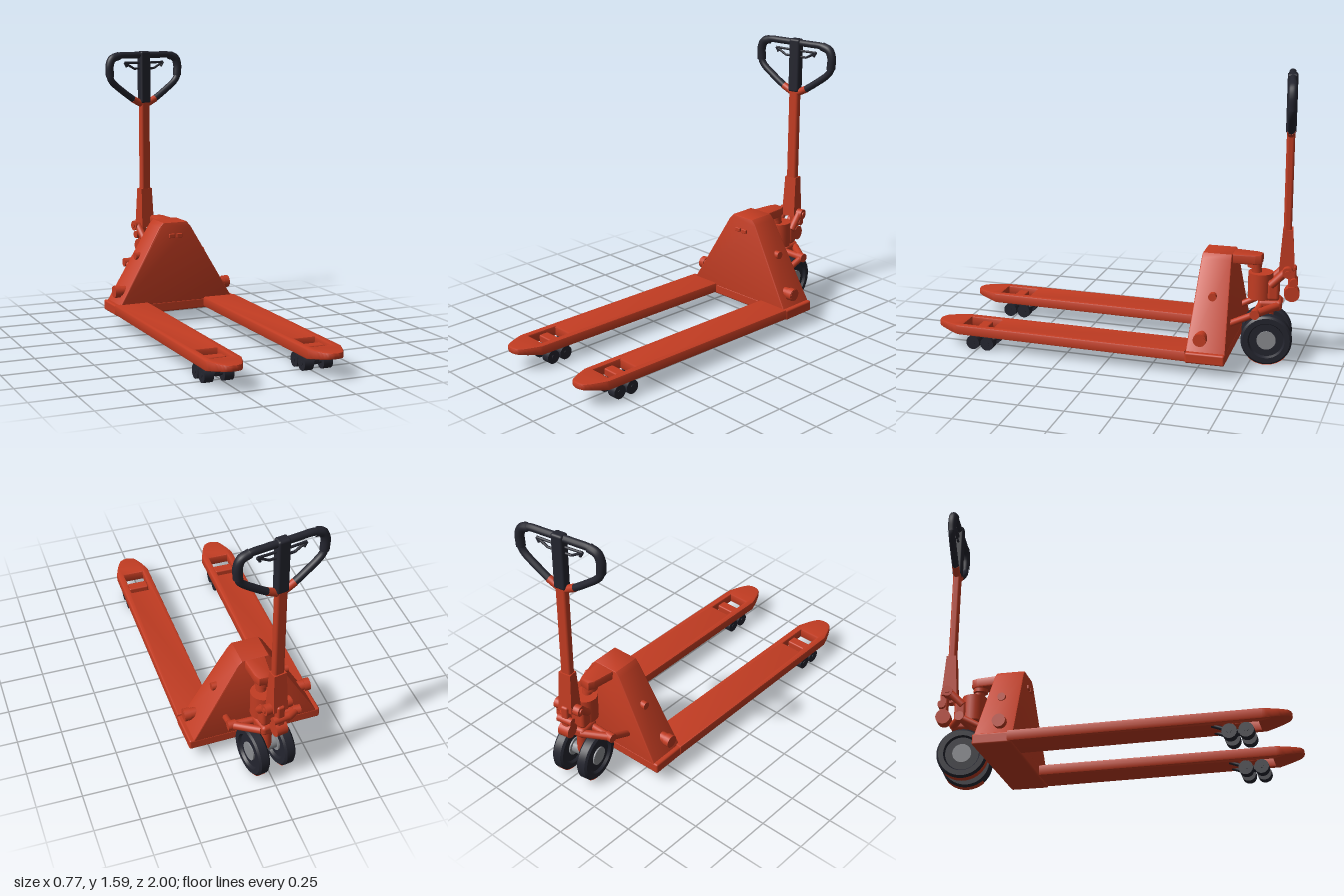
import * as THREE from 'three';
import { RoundedBoxGeometry } from 'three/addons/geometries/RoundedBoxGeometry.js';
import { toCreasedNormals } from 'three/addons/utils/BufferGeometryUtils.js';

const material = (name, color, extra = {}) => {
  const m = new THREE.MeshStandardMaterial({ color, ...extra });
  m.name = name;
  return m;
};
const V = (x, y, z) => new THREE.Vector3(x, y, z);

export function createModel() {
  const orange = material('orange paint', 0xc23c22);
  const dark = material('dark rubber', 0x24252f);
  const grey = material('hub metal', 0x8b8d91);
  const model = new THREE.Group();
  model.name = 'palletTruck';

  const group = (name, x = 0, y = 0, z = 0, parent = model) => {
    const g = new THREE.Group();
    g.name = name;
    g.position.set(x, y, z);
    parent.add(g);
    return g;
  };
  const add = (parent, name, geo, mat, x = 0, y = 0, z = 0) => {
    const m = new THREE.Mesh(geo, mat);
    m.name = name;
    m.position.set(x, y, z);
    parent.add(m);
    return m;
  };
  const box = (parent, name, mat, w, h, d, x, y, z, r = 0.008) =>
    add(parent, name, new RoundedBoxGeometry(w, h, d, 2, Math.min(r, w / 2.1, h / 2.1, d / 2.1)), mat, x, y, z);
  // Cylinder between two points
  const rod = (parent, name, mat, a, b, r0, r1 = r0, sides = 20) => {
    const dir = b.clone().sub(a);
    const m = add(parent, name, new THREE.CylinderGeometry(r1, r0, dir.length(), sides), mat);
    m.position.copy(a).add(b).multiplyScalar(0.5);
    m.quaternion.setFromUnitVectors(V(0, 1, 0), dir.normalize());
    return m;
  };
  const path = (points) => points.map(([x, y]) => new THREE.Vector2(x, y));
  const extrude = (shape, depth, bevel) => new THREE.ExtrudeGeometry(shape, {
    depth: depth - 2 * bevel, bevelThickness: bevel, bevelSize: bevel, bevelOffset: -bevel,
    bevelSegments: 2, curveSegments: 10,
  });
  const edit = (geo, rule) => {
    const p = geo.attributes.position, v = V(0, 0, 0);
    for (let i = 0; i < p.count; i++) {
      rule(v.fromBufferAttribute(p, i));
      p.setXYZ(i, v.x, v.y, v.z);
    }
    geo.computeVertexNormals();
    return toCreasedNormals(geo, 0.6);
  };

  // Forks with a roller opening and an upswept tip
  for (const s of [-1, 1]) {
    const fork = group(s > 0 ? 'leftFork' : 'rightFork', s * 0.281);
    const outline = new THREE.Shape();
    outline.moveTo(-0.103, -0.46);
    outline.lineTo(0.103, -0.46);
    outline.lineTo(0.1, 0.86);
    outline.quadraticCurveTo(0.072, 0.95, 0.045, 0.985);
    outline.quadraticCurveTo(0, 1.015, -0.045, 0.985);
    outline.quadraticCurveTo(-0.072, 0.95, -0.1, 0.86);
    outline.closePath();
    outline.holes.push(new THREE.Path(path([[-0.06, 0.652], [-0.06, 0.835], [0.06, 0.835], [0.06, 0.652]])));
    const geo = extrude(outline, 0.06, 0.009);
    geo.rotateX(Math.PI / 2);
    geo.translate(0, 0.131, 0);
    add(fork, 'forkBeam', edit(geo, (v) => {
      if (v.z > 0.84 && v.y < 0.11) v.y += (v.z - 0.84) * 0.17;
    }), orange);
    // Tandem load rollers
    box(fork, 'rollerCrossBar', orange, 0.12, 0.045, 0.06, 0, 0.1, 0.735);
    box(fork, 'rollerBogie', dark, 0.035, 0.03, 0.12, 0, 0.055, 0.73);
    for (const z of [0.69, 0.775]) {
      rod(fork, 'rollerAxle', dark, V(-0.085, 0.04, z), V(0.085, 0.04, z), 0.012);
      for (const side of [-1, 1]) {
        const x = side * 0.056;
        rod(fork, 'loadRoller', dark, V(x - 0.026, 0.039, z), V(x + 0.026, 0.039, z), 0.039, 0.039, 24);
      }
    }
    for (const side of [-1, 1])
      rod(fork, 'rollerLink', dark, V(side * 0.05, 0.085, 0.6), V(side * 0.05, 0.05, 0.69), 0.01);
  }

  // Chassis: base beam, triangular frame, panel and lift shaft
  const chassis = group('chassis', 0, 0, -0.555);
  chassis.rotation.y = 0.03;
  box(chassis, 'baseBeam', orange, 0.765, 0.06, 0.215, 0, 0.104, 0, 0.01);
  const frame = new THREE.Shape(path([[-0.362, 0.125], [0.362, 0.125], [0.1, 0.575], [0.075, 0.602],
    [-0.075, 0.602], [-0.1, 0.575]]));
  frame.holes.push(new THREE.Path(path([[-0.3, 0.133], [-0.122, 0.44], [0.122, 0.44], [0.3, 0.133]])));
  const frameGeo = extrude(frame, 0.215, 0.008);
  frameGeo.translate(0, 0, -0.0995);
  add(chassis, 'triangleFrame', edit(frameGeo, (v) => { v.z *= 1 - (v.y - 0.125) * 0.5; }), orange);
  const panel = extrude(new THREE.Shape(path([[-0.28, 0.175], [0.28, 0.175], [0.125, 0.445], [-0.125, 0.445]])), 0.03, 0.003);
  add(chassis, 'frontPanel', toCreasedNormals(panel, 0.5), orange, 0, 0, -0.045);
  box(chassis, 'panelRib', orange, 0.56, 0.06, 0.05, 0, 0.208, 0.0, 0.02);
  rod(chassis, 'liftShaft', orange, V(-0.37, 0.205, 0.03), V(0.372, 0.205, 0.03), 0.03, 0.03, 24);
  box(chassis, 'panelBlock', orange, 0.18, 0.06, 0.02, 0, 0.275, -0.015);
  for (const s of [-1, 1]) {
    rod(chassis, 'shaftCap', orange, V(s * 0.335, 0.205, 0.03), V(s * 0.37, 0.205, 0.03), 0.036);
    rod(chassis, 'frameBolt', orange, V(s * 0.19, 0.4, -0.005), V(s * 0.222, 0.4, -0.005), 0.022);
    box(chassis, 'frontLug', orange, 0.036, 0.025, 0.016, s * 0.024, 0.522, 0.089, 0.004);
  }

  // Top yoke reaching over the pump
  const yoke = extrude(new THREE.Shape(path([[-0.072, -0.5], [0.072, -0.5], [0.045, -0.76], [0.03, -0.792],
    [-0.03, -0.792], [-0.045, -0.76]])), 0.055, 0.008);
  yoke.rotateX(Math.PI / 2);
  add(model, 'topYoke', toCreasedNormals(yoke, 0.5), orange, 0, 0.592, 0);
  rod(model, 'yokeBoss', orange, V(0, 0.525, -0.75), V(0, 0.56, -0.75), 0.04);

  // Lower lift linkage
  for (const s of [-1, 1]) {
    rod(model, 'liftLink', orange, V(s * 0.165, 0.225, -0.62), V(s * 0.185, 0.315, -0.79), 0.018);
    rod(model, 'linkJoint', orange, V(s * 0.16, 0.318, -0.795), V(s * 0.205, 0.318, -0.795), 0.026);
    rod(model, 'yokeArm', orange, V(s * 0.175, 0.318, -0.8), V(s * 0.05, 0.325, -0.885), 0.022);
  }
  rod(model, 'linkCrossShaft', orange, V(-0.18, 0.318, -0.795), V(0.18, 0.318, -0.795), 0.02);

  // Steering unit, turned slightly to one side
  const steer = group('steeringUnit', 0, 0, -0.82);
  steer.rotation.y = 0.18;
  rod(steer, 'pumpBody', orange, V(0, 0.355, 0.035), V(0, 0.5, 0.035), 0.068, 0.068, 28);
  rod(steer, 'pumpPiston', orange, V(0, 0.49, 0.055), V(0, 0.56, 0.065), 0.028);
  box(steer, 'pumpBase', orange, 0.13, 0.06, 0.13, 0, 0.325, -0.02, 0.02);
  rod(steer, 'steeringPost', orange, V(0, 0.14, -0.01), V(0, 0.36, -0.01), 0.03);
  box(steer, 'pumpReservoir', orange, 0.12, 0.12, 0.07, 0, 0.41, -0.035, 0.02);
  for (const s of [-1, 1]) {
    rod(steer, 'hingeArm', orange, V(s * 0.052, 0.44, -0.02), V(s * 0.052, 0.52, -0.1), 0.022);
    rod(steer, 'hingeBoss', orange, V(s * 0.03, 0.52, -0.11), V(s * 0.078, 0.52, -0.11), 0.03);
  }
  rod(steer, 'hingePin', orange, V(-0.085, 0.52, -0.11), V(0.085, 0.52, -0.11), 0.015);
  rod(steer, 'pumpRoller', orange, V(-0.032, 0.385, -0.135), V(0.032, 0.385, -0.135), 0.042, 0.042, 24);
  box(steer, 'pumpLever', orange, 0.045, 0.16, 0.045, 0, 0.465, -0.135, 0.012);
  rod(steer, 'leverLug', orange, V(-0.045, 0.455, -0.145), V(0.045, 0.455, -0.145), 0.022);

  // Handle column with a flared socket
  const socket = edit(new THREE.BoxGeometry(0.085, 0.24, 0.085), (v) => {
    if (v.y > 0) { v.x *= 0.86; v.z *= 0.62; }
  });
  add(steer, 'columnSocket', socket, orange, 0, 0.63, -0.105);
  box(steer, 'handleColumn', orange, 0.062, 0.58, 0.044, 0, 1.01, -0.102, 0.014);
  box(steer, 'gripColumn', dark, 0.068, 0.315, 0.055, 0, 1.435, -0.102, 0.012);

  // Loop grip and release levers
  const half = [[0, 1.57], [0.1, 1.57], [0.175, 1.568], [0.222, 1.55], [0.24, 1.51], [0.238, 1.44],
    [0.222, 1.41], [0.14, 1.345], [0.065, 1.294]];
  const along = [0, 0.07, 0.14];
  for (const s of [-1, 1]) {
    const curve = new THREE.CatmullRomCurve3(half.map(([x, y]) => V(s * x, y, -0.102)), false, 'centripetal');
    add(steer, 'loopGrip', new THREE.TubeGeometry(curve, 48, 0.02, 12), dark);
    const sleeve = new THREE.CatmullRomCurve3(half.slice(2, 6).map(([x, y]) => V(s * x, y, -0.102)), false, 'centripetal');
    add(steer, 'gripSleeve', new THREE.TubeGeometry(sleeve, 24, 0.025, 12), dark);
    rod(steer, 'loopSocket', orange, V(s * 0.02, 1.273, -0.102), V(s * 0.078, 1.302, -0.102), 0.021);
    const lever = V(s * 0.135, 1.525, -0.102);
    rod(steer, 'releaseLever', dark, V(s * along[0], 1.522, -0.102), lever, 0.007, 0.007, 8);
    rod(steer, 'releaseLever', dark, V(s * along[1], 1.488, -0.102), lever, 0.007, 0.007, 8);
    rod(steer, 'releaseLever', dark, V(s * along[0], 1.488, -0.102), V(s * along[1], 1.488, -0.102), 0.007, 0.007, 8);
    rod(steer, 'leverTip', dark, V(s * 0.12, 1.5, -0.102), lever, 0.008, 0.008, 8);
  }

  // Steering wheels: dished tyre, metal hub, painted tread patch
  const R = 0.139;
  const tyre = toCreasedNormals(new THREE.LatheGeometry(path([[0, -0.018], [0.092, -0.018], [0.1, -0.033],
    [0.128, -0.033], [R, -0.022], [R, 0.022], [0.128, 0.033], [0.1, 0.033], [0.092, 0.018], [0, 0.018]]), 48), 0.5);
  tyre.rotateZ(-Math.PI / 2);
  const patch = (from, to) => {
    // Angle runs from straight down towards the front
    const g = new THREE.CylinderGeometry(R + 0.002, R + 0.002, 0.046, 24, 1, true, from, to - from);
    return g.rotateZ(-Math.PI / 2);
  };
  const paint = material('orange tread paint', 0xc23c22, { side: THREE.DoubleSide });
  for (const s of [-1, 1]) {
    const wheel = group(s > 0 ? 'leftSteerWheel' : 'rightSteerWheel', s * 0.079, 0.141, -0.005, steer);
    add(wheel, 'tyre', tyre, dark);
    rod(wheel, 'hub', grey, V(-0.026, 0, 0), V(0.026, 0, 0), 0.052, 0.052, 24);
    // The cylinder's start angle 0 faces +z and a quarter turn faces down
    const start = Math.PI / 2;
    add(wheel, 'treadPaint', s > 0 ? patch(start - 0.75, start + 0.85) : patch(start - 1.6, start + 0.7), paint);
  }
  rod(steer, 'wheelAxle', grey, V(-0.07, 0.141, -0.005), V(0.07, 0.141, -0.005), 0.035);
  return model;
}
